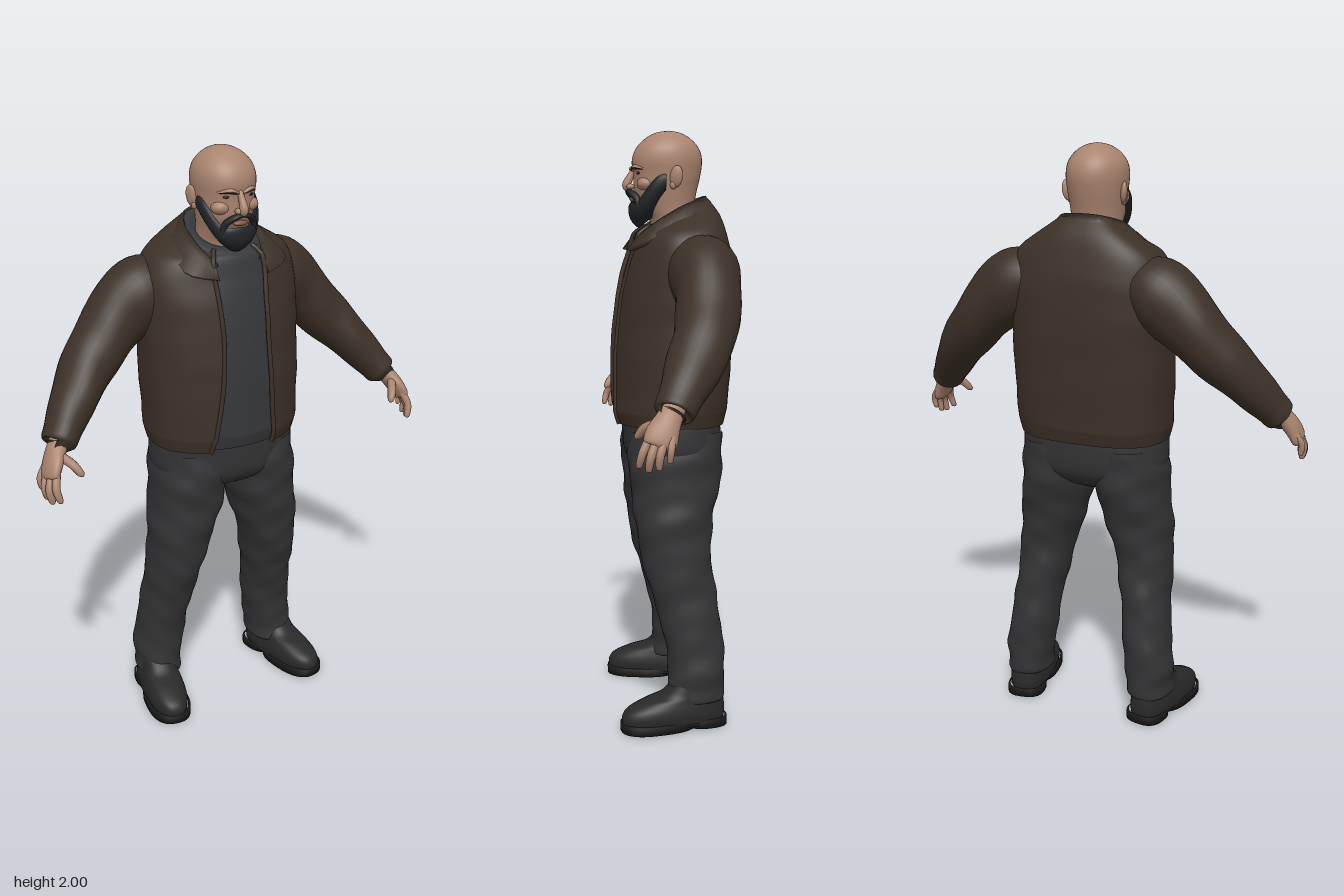
import * as THREE from 'three';

const mat = (name, color, side = THREE.FrontSide) => {
  const m = new THREE.MeshStandardMaterial({ color, side });
  m.name = name;
  return m;
};
const M = {
  skin: mat('skin', 0xaa846f),
  jacket: mat('brown jacket', 0x3c3127, THREE.DoubleSide),
  shirt: mat('charcoal shirt', 0x36373a),
  trousers: mat('dark trousers', 0x333335),
  boots: mat('black boots', 0x29292a),
  sole: mat('boot sole', 0x1c1c1d),
  beard: mat('beard', 0x222427, THREE.DoubleSide),
  dark: mat('eye dark', 0x2a201c),
  lips: mat('lips', 0x84594c),
};

// Catmull-Rom smoothing of rows of numbers
function smooth(rows, n = 5) {
  const out = [];
  for (let i = 0; i < rows.length - 1; i++) {
    const [a, b, c, d] = [rows[Math.max(i - 1, 0)], rows[i], rows[i + 1], rows[Math.min(i + 2, rows.length - 1)]];
    for (let k = 0; k < n; k++) {
      const t = k / n;
      out.push(b.map((p, j) => {
        const cubic = 3 * (p - c[j]) + d[j] - a[j];
        const square = 2 * a[j] - 5 * p + 4 * c[j] - d[j];
        return p + 0.5 * t * (c[j] - a[j] + t * (square + t * cubic));
      }));
    }
  }
  out.push(rows[rows.length - 1]);
  return out;
}

// Grid surface: fn(u, j) gives the point, u wraps round when closed
function grid(nu, nv, fn, closed) {
  const cols = closed ? nu : nu + 1, pos = [], idx = [];
  for (let j = 0; j <= nv; j++) for (let i = 0; i < cols; i++) pos.push(...fn(i / nu, j));
  for (let j = 0; j < nv; j++) for (let i = 0; i < nu; i++) {
    const k = (i + 1) % cols, a = j * cols + i, b = j * cols + k;
    idx.push(a, b, b + cols, a, b + cols, a + cols);
  }
  const g = new THREE.BufferGeometry();
  g.setAttribute('position', new THREE.Float32BufferAttribute(pos, 3));
  g.setIndex(idx);
  g.computeVertexNormals();
  return g;
}

// Point on a horizontal ring [y, centreX, halfWidth, zFront, zBack, tilt, ...] at an angle from the front
function ringPoint(r, a, o) {
  const { nf = 2, nb = 2, fold = 0 } = o;
  const s = Math.sin(a), c = Math.cos(a), e = 2 / (c > 0 ? nf : nb);
  const zc = r[3] * 0.5 + r[4] * 0.5;
  const w = 1 + fold * (Math.sin(34 * r[0] + 2.5 * s + 2 * c) + 0.6 * Math.sin(61 * r[0] - 4 * s + c));
  return [r[1] + w * r[2] * Math.sign(s) * Math.abs(s) ** e, r[0] + r[5] * c,
    zc + w * (r[3] - zc) * Math.sign(c) * Math.abs(c) ** e];
}

// Upright form through horizontal rings, listed from the bottom up
function loft(rows, o = {}) {
  const R = smooth(rows.map(r => [...r, 0].slice(0, Math.max(6, r.length))), o.steps);
  return grid(o.seg || 40, R.length - 1, (u, j) => {
    const a = o.open ? R[j][6] + u * (2 * Math.PI - R[j][6] - R[j][7]) : u * Math.PI * 2;
    return ringPoint(R[j], a, o);
  }, !o.open);
}

// Round form along a path of [x, y, z, radius toward z, other radius]
function limb(rows, seg = 16, fold = 0, steps = 5) {
  const R = smooth(rows, steps), P = R.map(r => new THREE.Vector3(r[0], r[1], r[2]));
  const frames = P.map((p, j) => {
    const t = P[Math.min(j + 1, P.length - 1)].clone().sub(P[Math.max(j - 1, 0)]).normalize();
    const e1 = new THREE.Vector3(0, 0, 1).addScaledVector(t, -t.z).normalize();
    return [e1, t.clone().cross(e1)];
  });
  return grid(seg, R.length - 1, (u, j) => {
    const a = u * Math.PI * 2, w = 1 + fold * Math.sin(46 * R[j][1] + 3 * Math.sin(a));
    return P[j].clone().addScaledVector(frames[j][0], w * R[j][3] * Math.cos(a))
      .addScaledVector(frames[j][1], w * R[j][4] * Math.sin(a)).toArray();
  }, true);
}

// Finger with a rounded tip
function finger(a, b, c, r) {
  return limb([[...a, r, r], [...b, r, r], [...c, r * 0.75, r * 0.75], [c[0], c[1] - r * 0.5, c[2], 0.0005, 0.0005]], 10, 0, 4);
}

export function createModel() {
  const root = new THREE.Group();
  root.name = 'beardedMan';
  const add = (parent, name, geo, m) => {
    const mesh = new THREE.Mesh(geo, m);
    mesh.name = name;
    parent.add(mesh);
    return mesh;
  };
  const ball = (parent, name, m, p, s) => {
    const b = add(parent, name, new THREE.SphereGeometry(1, 20, 14), m);
    b.position.set(...p);
    b.scale.set(...s);
    return b;
  };

  // Jacket body, open at the front; the last two numbers are the opening angles
  const body = [
    [1.02, 0, 0.262, 0.195, -0.18, 0, 0.36, 0.54], [1.06, 0, 0.272, 0.205, -0.19, 0, 0.35, 0.5],
    [1.09, 0, 0.274, 0.205, -0.194, 0, 0.34, 0.46], [1.25, 0, 0.28, 0.2, -0.205, 0, 0.3, 0.36],
    [1.4, 0, 0.282, 0.185, -0.212, 0, 0.28, 0.32], [1.52, 0, 0.285, 0.163, -0.21, 0, 0.29, 0.33],
    [1.6, 0, 0.275, 0.14, -0.2, 0, 0.33, 0.36], [1.66, 0, 0.245, 0.125, -0.185, -0.01, 0.37, 0.39],
    [1.695, 0, 0.19, 0.112, -0.165, -0.03, 0.45, 0.46], [1.725, 0, 0.125, 0.095, -0.13, -0.05, 0.6, 0.6],
  ];
  const cut = { open: true, nb: 2.7, seg: 64, fold: 0.004 };
  add(root, 'jacketBody', loft(body, cut), M.jacket);
  for (const side of [1, -1]) {
    const edge = smooth(body, 3).map(r => [...ringPoint(r, side > 0 ? r[6] : -r[7], cut), 0.008, 0.008]);
    add(root, 'jacketFrontEdge', limb(edge, 8, 0, 2), M.jacket);
  }

  // Shirt under the jacket
  const shirt = body.map(r => [r[0] + 0.006, 0, r[2] - 0.016, r[3] - 0.012, r[4] + 0.018, r[5]]);
  shirt.push([1.715, 0, 0.07, 0.04, -0.08, -0.03]);
  add(root, 'shirt', loft(shirt, { nb: 2.7, seg: 48, fold: 0.002 }), M.shirt);

  // Folded collar: lines from inner edge over the fold to the outer edge, each from back to front point
  const lines = [
    [[0, 1.71, -0.1], [0.07, 1.7, -0.08], [0.1, 1.68, -0.01], [0.095, 1.65, 0.06], [0.06, 1.61, 0.105]],
    [[0, 1.785, -0.122], [0.075, 1.778, -0.105], [0.118, 1.75, -0.03], [0.115, 1.7, 0.055], [0.08, 1.65, 0.115]],
    [[0, 1.765, -0.14], [0.085, 1.76, -0.12], [0.135, 1.735, -0.035], [0.135, 1.685, 0.075], [0.09, 1.635, 0.13]],
    [[0, 1.69, -0.172], [0.1, 1.695, -0.158], [0.175, 1.7, -0.05], [0.188, 1.635, 0.1], [0.09, 1.605, 0.152]],
    [[0, 1.685, -0.16], [0.1, 1.685, -0.145], [0.165, 1.68, -0.05], [0.18, 1.625, 0.085], [0.09, 1.6, 0.135]],
  ].map(l => smooth([...l.slice(1).reverse().map(([x, y, z]) => [-x, y, z]), ...l], 4));
  add(root, 'collar', grid(32, 4, (u, j) => lines[j][Math.round(u * 32)], false), M.jacket);

  // Hips
  add(root, 'hips', loft([
    [0.825, 0, 0.03, 0.03, -0.05], [0.86, 0, 0.15, 0.11, -0.12], [0.91, 0, 0.25, 0.155, -0.165],
    [1.0, 0, 0.26, 0.162, -0.172], [1.06, 0, 0.25, 0.16, -0.165],
  ], { nf: 2.4, nb: 2.4 }), M.trousers);

  // Arms, hands, legs, boots and paired face parts, made for one side and mirrored
  for (const side of [1, -1]) {
    const half = new THREE.Group();
    half.name = side > 0 ? 'leftSide' : 'rightSide';
    half.scale.x = side;
    root.add(half);

    add(half, 'sleeve', limb([
      [0.17, 1.555, -0.07, 0.09, 0.085], [0.26, 1.535, -0.08, 0.115, 0.122], [0.36, 1.447, -0.08, 0.105, 0.106],
      [0.46, 1.342, -0.052, 0.098, 0.09], [0.545, 1.247, 0.0, 0.086, 0.074], [0.605, 1.17, 0.045, 0.068, 0.06],
      [0.634, 1.134, 0.066, 0.06, 0.056], [0.636, 1.132, 0.067, 0.03, 0.03],
    ], 28, 0.022, 7), M.jacket);

    add(half, 'palm', limb([
      [0.61, 1.165, 0.055, 0.035, 0.032], [0.65, 1.12, 0.082, 0.04, 0.03], [0.675, 1.08, 0.105, 0.05, 0.026],
      [0.69, 1.045, 0.115, 0.046, 0.02], [0.692, 1.038, 0.118, 0.005, 0.005],
    ], 18), M.skin);
    add(half, 'indexFinger', finger([0.675, 1.07, 0.142], [0.69, 1.025, 0.165], [0.682, 0.985, 0.175], 0.013), M.skin);
    add(half, 'middleFinger', finger([0.685, 1.06, 0.122], [0.703, 1.015, 0.142], [0.698, 0.975, 0.148], 0.0135), M.skin);
    add(half, 'ringFinger', finger([0.69, 1.06, 0.1], [0.708, 1.02, 0.115], [0.703, 0.98, 0.118], 0.013), M.skin);
    add(half, 'littleFinger', finger([0.69, 1.07, 0.077], [0.71, 1.035, 0.083], [0.706, 1.0, 0.086], 0.011), M.skin);
    add(half, 'thumb', finger([0.65, 1.11, 0.11], [0.625, 1.09, 0.15], [0.606, 1.06, 0.172], 0.015), M.skin);

    add(half, 'trouserLeg', loft([
      [0.09, 0.24, 0.055, 0.02, -0.13], [0.095, 0.24, 0.078, 0.04, -0.155], [0.14, 0.238, 0.078, 0.034, -0.158],
      [0.2, 0.234, 0.085, 0.033, -0.16], [0.3, 0.222, 0.083, 0.045, -0.155], [0.4, 0.211, 0.083, 0.07, -0.142],
      [0.5, 0.198, 0.089, 0.1, -0.128], [0.6, 0.186, 0.098, 0.124, -0.118], [0.7, 0.167, 0.112, 0.137, -0.128],
      [0.8, 0.147, 0.122, 0.15, -0.15], [0.9, 0.136, 0.125, 0.156, -0.165], [1.0, 0.13, 0.12, 0.15, -0.16],
    ], { seg: 32, fold: 0.022, steps: 7, nf: 2.2, nb: 2.2 }), M.trousers);

    // Boot turned slightly outward
    const boot = new THREE.Group();
    boot.name = 'boot';
    boot.position.set(0.252, 0, -0.04);
    boot.rotation.y = 0.18;
    half.add(boot);
    add(boot, 'bootUpper', loft([
      [0.025, 0, 0.07, 0.238, -0.118], [0.05, 0, 0.073, 0.238, -0.12], [0.075, 0, 0.07, 0.22, -0.118],
      [0.1, 0, 0.064, 0.165, -0.115], [0.12, 0, 0.062, 0.1, -0.112], [0.16, 0, 0.06, 0.06, -0.11],
    ], { nf: 2.4, nb: 2.6 }), M.boots);
    const sole = [[0, 0.001], [0.002, 1], [0.03, 1], [0.032, 0.9]];
    const pad = (name, w, zf, zb) => add(boot, name, loft(sole.map(([y, s]) => {
      const c = (zf + zb) / 2;
      return [y, 0, w * s, c + (zf - c) * s, c + (zb - c) * s];
    }), { nf: 2.5, nb: 2.7, steps: 1 }), M.sole);
    pad('soleFront', 0.076, 0.243, -0.01);
    pad('soleHeel', 0.068, 0.02, -0.126);
    const shank = add(boot, 'soleShank', new THREE.BoxGeometry(0.125, 0.018, 0.16), M.sole);
    shank.position.set(0, 0.023, 0.02);

    // Ear, eye, brow, cheek and moustache half
    const ear = ball(half, 'ear', M.skin, [0.102, 1.845, -0.012], [0.011, 0.036, 0.022]);
    ear.rotation.set(-0.15, -0.35, -0.12);
    ball(half, 'earLobe', M.skin, [0.098, 1.817, -0.002], [0.009, 0.014, 0.011]);
    ball(half, 'eye', M.dark, [0.039, 1.858, 0.107], [0.016, 0.006, 0.008]);
    add(half, 'browRidge', limb([
      [0.008, 1.868, 0.122, 0.007, 0.004], [0.035, 1.877, 0.118, 0.012, 0.009], [0.068, 1.872, 0.09, 0.006, 0.004],
    ], 12), M.skin);
    add(half, 'eyebrow', limb([
      [0.013, 1.868, 0.128, 0.003, 0.002], [0.038, 1.875, 0.125, 0.006, 0.0045], [0.066, 1.871, 0.097, 0.003, 0.002],
    ], 10), M.dark);
    ball(half, 'cheek', M.skin, [0.05, 1.822, 0.085], [0.034, 0.024, 0.03]);
    ball(half, 'nostril', M.skin, [0.014, 1.814, 0.132], [0.011, 0.01, 0.014]);
    add(half, 'moustache', limb([
      [0, 1.8, 0.137, 0.01, 0.006], [0.025, 1.796, 0.134, 0.012, 0.009], [0.05, 1.775, 0.116, 0.012, 0.011],
      [0.06, 1.745, 0.108, 0.01, 0.01],
    ], 12), M.beard);
  }

  // Neck and bald head
  add(root, 'head', loft([
    [1.6, 0, 0.085, 0.06, -0.09], [1.69, 0, 0.083, 0.062, -0.09], [1.74, 0, 0.084, 0.09, -0.085],
    [1.79, 0, 0.091, 0.118, -0.092], [1.85, 0, 0.098, 0.121, -0.106], [1.9, 0, 0.102, 0.126, -0.112],
    [1.94, 0, 0.094, 0.113, -0.102], [1.972, 0, 0.07, 0.083, -0.075], [1.992, 0, 0.037, 0.047, -0.04],
    [2.0, 0, 0.001, 0.003, 0.001],
  ], { nf: 2.15 }), M.skin);
  add(root, 'nose', limb([
    [0, 1.875, 0.115, 0.01, 0.009], [0, 1.85, 0.13, 0.012, 0.011], [0, 1.822, 0.144, 0.015, 0.014],
    [0, 1.808, 0.138, 0.013, 0.012], [0, 1.804, 0.13, 0.001, 0.001],
  ], 14), M.skin);
  ball(root, 'mouth', M.lips, [0, 1.773, 0.122], [0.026, 0.009, 0.012]);

  // Full beard: sideburns high at the sides, low under the mouth, closing beneath the chin
  const rows = smooth([[0, 0.55], [0.1, 0.72], [0.3, 0.9], [0.55, 1], [0.85, 1], [1, 0.93]], 3);
  add(root, 'beard', grid(36, rows.length, (u, j) => {
    const a = (u - 0.5) * 3.2, k = Math.abs(a) / 1.6;
    if (j === 0) return [0.04 * Math.sin(a), 1.715, 0.04 + 0.02 * Math.cos(a)];
    const [t, s] = rows[j - 1];
    const top = 1.762 + 0.09 * THREE.MathUtils.smoothstep(k, 0.3, 0.95);
    const low = 1.677 + 0.105 * k ** 2.2;
    return [0.105 * s * Math.sin(a), low + t * (top - low), 0.025 + 0.112 * (0.35 + 0.65 * s) * Math.cos(a)];
  }, false), M.beard);

  return root;
}
